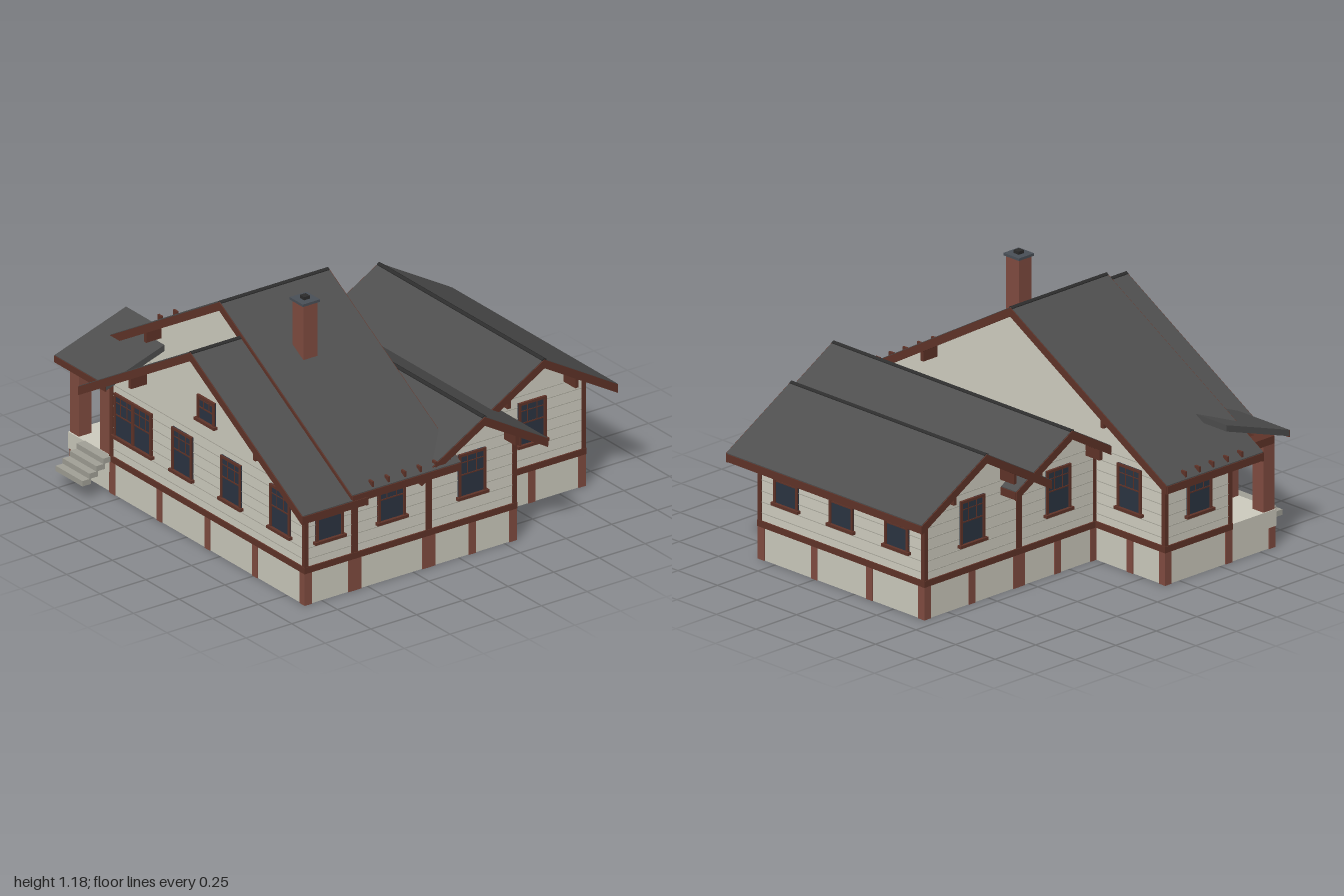
import * as THREE from 'three';

const mat = (name, color) => {
  const m = new THREE.MeshStandardMaterial({ color });
  m.name = name;
  return m;
};

export function createModel() {
  const wall = mat('cream siding', 0xd3d1c4);
  const groove = mat('siding shadow line', 0xaaa89c);
  const base = mat('foundation plaster', 0xcfcdc0);
  const trim = mat('dark red trim', 0x613429);
  const brick = mat('brick', 0x824d41);
  const roofing = mat('roof shingle', 0x4e4e4e);
  const ridgeMat = mat('ridge cap', 0x2c2c2c);
  const glass = mat('window glass', 0x2c3543);
  const stone = mat('step concrete', 0xa3a298);
  const capMat = mat('chimney cap', 0x4a5058);

  const house = new THREE.Group();
  house.name = 'house';
  const SLOPE = 0.577, T = 0.034, WALL_Y = 0.185;

  const box = (parent, name, m, x0, x1, y0, y1, z0, z1) => {
    const mesh = new THREE.Mesh(new THREE.BoxGeometry(x1 - x0, y1 - y0, z1 - z0), m);
    mesh.position.set((x0 + x1) / 2, (y0 + y1) / 2, (z0 + z1) / 2);
    mesh.name = name;
    parent.add(mesh);
    return mesh;
  };
  const extrude = (parent, name, m, pts, w0, w1) => {
    const shape = new THREE.Shape(pts.map(p => new THREE.Vector2(p[0], p[1])));
    const mesh = new THREE.Mesh(
      new THREE.ExtrudeGeometry(shape, { depth: w1 - w0, bevelEnabled: false }), m);
    mesh.position.z = w0;
    mesh.name = name;
    parent.add(mesh);
    return mesh;
  };
  // Inverted V cross-section following both roof slopes
  const chevron = (top, h, t) => [
    [0, top], [-h, top - h * SLOPE], [-h, top - h * SLOPE - t],
    [0, top - t], [h, top - h * SLOPE - t], [h, top - h * SLOPE]];

  // One gabled wing: local x runs across the gable, local z along the ridge
  function wing({ name, along, c, half, h, ridge, w0, w1, r0, r1, bracket, piers, sidePiers }) {
    const g = new THREE.Group();
    g.name = name;
    if (along === 'x') { g.rotation.y = Math.PI / 2; g.position.z = c; } else g.position.x = c;
    house.add(g);
    const eave = ridge - T - half * SLOPE;

    // Walls, siding lines and foundation
    extrude(g, 'walls', wall, [[-half, WALL_Y], [half, WALL_Y], [half, eave], [0, ridge - T], [-half, eave]], w0, w1);
    for (let y = 0.22; y < eave; y += 0.052)
      box(g, 'sidingLine', groove, -half - 0.002, half + 0.002, y, y + 0.003, w0 - 0.002, w1 + 0.002);
    box(g, 'foundation', base, -half, half, 0, 0.16, w0, w1);
    box(g, 'sillBand', trim, -half - 0.007, half + 0.007, 0.155, WALL_Y, w0 - 0.007, w1 + 0.007);

    // Corner boards and brick piers
    for (const sx of [-1, 1]) for (const w of [w0, w1]) {
      const d = w === w1 ? 1 : -1, x = sx * (half - 0.006), z = w - d * 0.006;
      box(g, 'cornerBoard', trim, x - 0.011, x + 0.011, WALL_Y, eave, z - 0.011, z + 0.011);
      const px = sx * (half - 0.015), pz = w - d * 0.015;
      box(g, 'cornerPier', brick, px - 0.02, px + 0.02, 0, 0.155, pz - 0.02, pz + 0.02);
    }
    for (const u of piers)
      box(g, 'endPier', brick, u - 0.019, u + 0.019, 0, 0.155, w0 - 0.005, w1 + 0.005);
    for (const w of sidePiers)
      box(g, 'sidePier', brick, -half - 0.005, half + 0.005, 0, 0.155, w - 0.019, w + 0.019);

    // Roof, barge boards, eave boards and ridge cap
    extrude(g, 'roof', roofing, chevron(ridge, h, T), r0, r1);
    for (const w of [r0 - 0.004, r1 - 0.008])
      extrude(g, 'bargeBoard', trim, chevron(ridge - 0.003, h, 0.042), w, w + 0.012);
    for (const s of [-1, 1]) {
      const y = ridge - h * SLOPE;
      box(g, 'eaveBoard', trim, s * h - 0.004, s * h + 0.004, y - T - 0.006, y - 0.004, r0, r1);
    }
    extrude(g, 'ridgeCap', ridgeMat, chevron(ridge + 0.004, 0.012, 0.012), r0, r1);

    // Brackets under the overhangs
    for (const u of [-bracket, bracket]) for (const [a, b] of [[r0 + 0.008, w0 + 0.01], [w1 - 0.01, r1 - 0.008]]) {
      const y = ridge - T - bracket * SLOPE;
      box(g, 'bracket', trim, u - 0.009, u + 0.009, y - 0.055, y + 0.004, a, b);
    }
  }
  wing({ name: 'mainWing', along: 'z', c: 0, half: 0.88, h: 0.99, ridge: 1.1, w0: 0.165, w1: 0.57,
    r0: 0.07, r1: 0.662, bracket: 0.57, piers: [-0.66], sidePiers: [] });
  wing({ name: 'frontWing', along: 'z', c: 0.155, half: 0.725, h: 0.838, ridge: 0.988, w0: 0.57, w1: 0.84,
    r0: 0.58, r1: 0.935, bracket: 0.465, piers: [-0.36, 0, 0.355], sidePiers: [] });
  wing({ name: 'middleWing', along: 'x', c: -0.0725, half: 0.2375, h: 0.345, ridge: 0.705, w0: -0.44, w1: 0.88,
    r0: -0.535, r1: 0.975, bracket: 0.185, piers: [0], sidePiers: [] });
  wing({ name: 'rearWing', along: 'x', c: -0.6, half: 0.29, h: 0.4, ridge: 0.735, w0: -0.44, w1: 0.605,
    r0: -0.535, r1: 0.70, bracket: 0.185, piers: [0], sidePiers: [-0.095, 0.255] });

  // Framed windows: sash with glazing bars over a dark pane, facing +z before turning
  function windowAt(x, z, turn, w = 0.15, y0 = 0.29, y1 = 0.503, units = 1) {
    const g = new THREE.Group();
    g.name = 'window';
    g.position.set(x, 0, z);
    g.rotation.y = turn;
    house.add(g);
    const r = w / 2, f = 0.012, mid = y0 + (y1 - y0) * 0.52;
    box(g, 'pane', glass, -r, r, y0, y1, -0.004, 0.005);
    for (const s of [-1, 1])
      box(g, 'jamb', trim, s * (r - f / 2) - f / 2, s * (r - f / 2) + f / 2, y0, y1, -0.004, 0.012);
    box(g, 'head', trim, -r, r, y1 - f, y1, -0.004, 0.012);
    box(g, 'sill', trim, -r - 0.01, r + 0.01, y0 - 0.006, y0 + 0.008, -0.004, 0.02);
    box(g, 'meetingRail', trim, -r, r, mid - 0.003, mid + 0.003, 0, 0.008);
    const unit = w / units;
    for (let i = 0; i < units; i++) {
      const left = -r + i * unit;
      if (i) box(g, 'mullion', trim, left - 0.008, left + 0.008, y0, y1, 0, 0.011);
      for (const k of [1, 2]) {
        const bx = left + unit * k / 3;
        box(g, 'glazingBar', trim, bx - 0.002, bx + 0.002, mid, y1, 0, 0.007);
      }
      const by = (mid + y1) / 2 + 0.008;
      box(g, 'crossBar', trim, left, left + unit, by - 0.002, by + 0.002, 0, 0.007);
    }
  }
  const Q = Math.PI / 2;
  windowAt(-0.397, 0.84, 0, 0.28, 0.29, 0.503, 2);
  for (const x of [-0.03, 0.335, 0.702]) windowAt(x, 0.84, 0);
  windowAt(0.15, 0.84, 0, 0.13, 0.613, 0.733);
  for (const z of [0.71, 0.37, -0.07]) windowAt(0.88, z, Q);
  windowAt(0.605, -0.6, Q);
  windowAt(-0.88, 0.37, -Q);
  for (const z of [-0.07, -0.6]) windowAt(-0.44, z, -Q);
  for (const x of [-0.27, 0.08, 0.43]) windowAt(x, -0.89, Math.PI);
  windowAt(-0.66, 0.165, Math.PI);

  // Rafter tails along the main eaves
  for (const s of [-1, 1]) for (const z of [0.195, 0.28, 0.365, 0.455, 0.542])
    box(house, 'rafterTail', trim, s * 0.968 - 0.014, s * 0.968 + 0.014, 0.495, 0.56, z - 0.005, z + 0.005);

  // Porch: deck, columns, header, lean-to roof
  const porch = new THREE.Group();
  porch.name = 'porch';
  house.add(porch);
  box(porch, 'porchBase', base, -0.878, -0.56, 0, 0.1, 0.56, 0.835);
  box(porch, 'porchDeck', base, -0.885, -0.56, 0.1, 0.18, 0.56, 0.845);
  for (const [x, z] of [[-0.865, 0.822], [-0.565, 0.822]])
    box(porch, 'porchPier', brick, x - 0.019, x + 0.019, 0, 0.099, z - 0.019, z + 0.019);
  for (const x of [-0.847, -0.62])
    box(porch, 'column', brick, x - 0.034, x + 0.034, 0.18, 0.495, 0.77, 0.838);
  box(porch, 'header', trim, -0.885, -0.57, 0.493, 0.53, 0.775, 0.835);
  box(porch, 'sideHeader', trim, -0.885, -0.82, 0.493, 0.53, 0.57, 0.8);
  const lean = new THREE.Group();
  lean.name = 'porchRoof';
  lean.rotation.y = Q;
  porch.add(lean);
  extrude(lean, 'leanToRoof', roofing, [[-0.89, 0.522], [-0.5, 0.65], [-0.5, 0.68], [-0.89, 0.552]], -0.923, -0.54);
  box(porch, 'porchFascia', trim, -0.923, -0.54, 0.518, 0.549, 0.886, 0.894);

  // Entry steps
  for (let i = 0; i < 4; i++)
    box(porch, 'step', stone, -0.765, -0.565, 0.154 - i * 0.026, 0.18 - i * 0.026,
      0.84 + i * 0.038, 0.886 + i * 0.038);

  // Chimney
  box(house, 'chimney', brick, 0.275, 0.357, 0.8, 1.158, 0.39, 0.466);
  box(house, 'chimneyCap', capMat, 0.267, 0.365, 1.158, 1.17, 0.381, 0.475);
  box(house, 'chimneyFlue', ridgeMat, 0.3, 0.332, 1.17, 1.185, 0.412, 0.444);

  return house;
}
